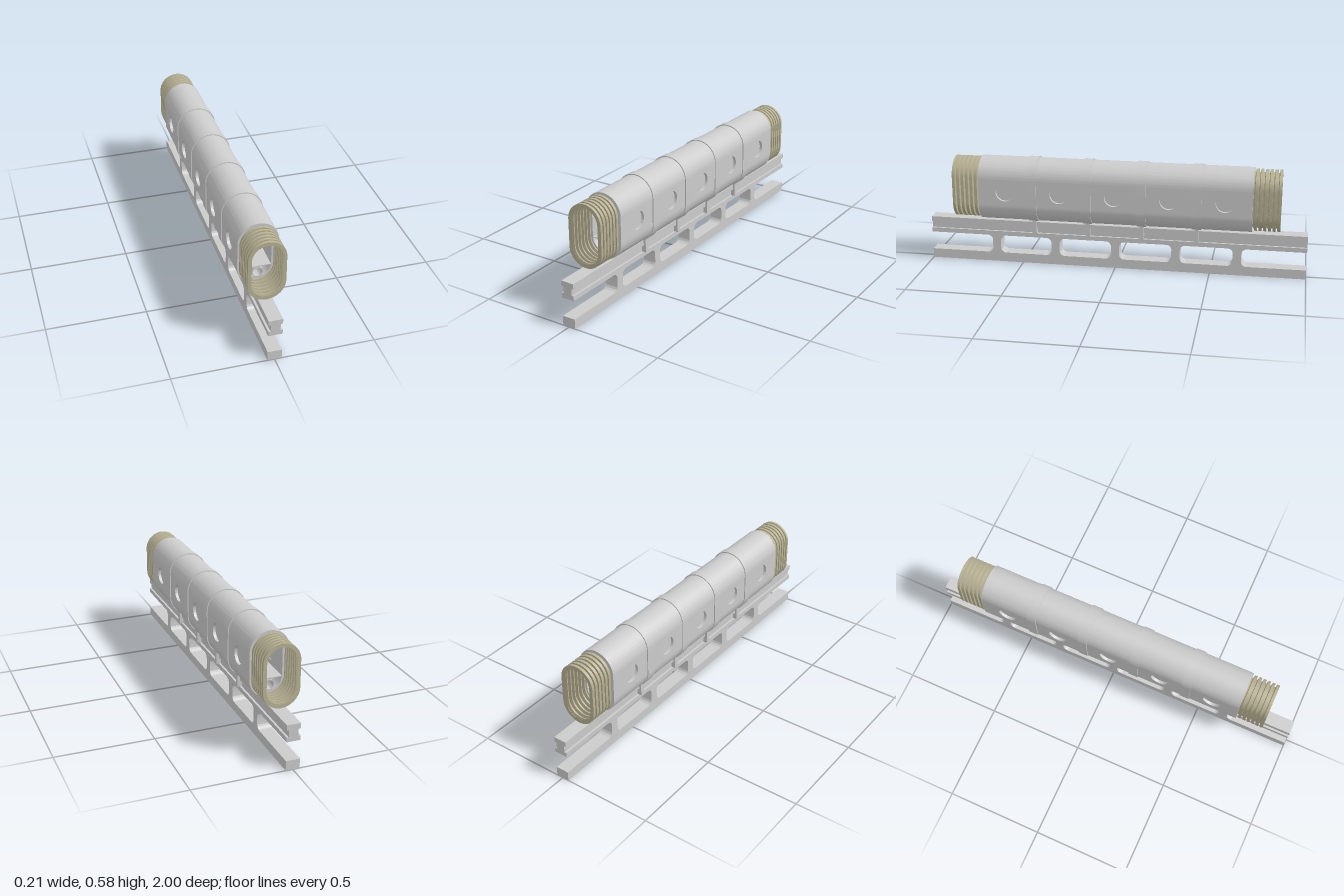
import * as THREE from 'three';
import { toCreasedNormals } from 'three/addons/utils/BufferGeometryUtils.js';

const grey = new THREE.MeshStandardMaterial({ color: 0xcccccc });
const olive = new THREE.MeshStandardMaterial({ color: 0xb8b294, side: THREE.DoubleSide });

const LOW = 0.34, HIGH = 0.478;      // arc centres of the tall oval section
const SKIN = 0.101, INNER = 0.066;   // hull outer and inner radius
const HALF = 0.715;                  // half length of the hull
const STATIONS = [-0.43, -0.143, 0.143, 0.43];
const WINDOWS = [-0.575, -0.287, 0, 0.287, 0.575];

function add(parent, name, geometry, material = grey) {
  const mesh = new THREE.Mesh(geometry, material);
  mesh.name = name;
  parent.add(mesh);
  return mesh;
}

// Extrusion centred on its depth, with smooth curves and sharp edges
function extrude(shape, depth) {
  const g = new THREE.ExtrudeGeometry(shape, { depth, bevelEnabled: false, curveSegments: 28 });
  g.translate(0, 0, -depth / 2);
  return toCreasedNormals(g, 0.5);
}

// Same, for shapes drawn as (z, y) and extruded across x
const extrudeAcross = (shape, depth) => extrude(shape, depth).rotateY(-Math.PI / 2);

function poly(points) {
  return new THREE.Shape(points.map(([x, y]) => new THREE.Vector2(x, y)));
}

function oval(r, Type = THREE.Shape) {
  const s = new Type();
  s.absarc(0, HIGH, r, 0, Math.PI);
  s.absarc(0, LOW, r, Math.PI, 2 * Math.PI);
  s.closePath();
  return s;
}

// Half ring used for the hull roof and belly
function halfRing(y, start) {
  const s = new THREE.Shape();
  s.absarc(0, y, SKIN, start, start + Math.PI, false);
  s.absarc(0, y, INNER, start + Math.PI, start, true);
  s.closePath();
  return s;
}

// Corrugated sleeve: oval loops whose radius steps in and out along z
function bellowsGeometry(length, ribs) {
  const profile = [], pitch = length / ribs;
  for (let i = 0; i < ribs; i++) {
    const z = i * pitch;
    profile.push([z, 0.077], [z + pitch * 0.25, 0.077], [z + pitch * 0.4, 0.094], [z + pitch, 0.094]);
  }
  profile.push([length, 0.075]);
  const n = 25, ring = 2 * n, pos = [], index = [];
  for (const [z, r] of profile) {
    for (let k = 0; k < ring; k++) {
      const upper = k < n;
      const a = Math.PI * (upper ? k / (n - 1) : 1 + (k - n) / (n - 1));
      pos.push(Math.cos(a) * r, (upper ? HIGH : LOW) + Math.sin(a) * r, z);
    }
  }
  for (let j = 0; j < profile.length - 1; j++) {
    for (let k = 0; k < ring; k++) {
      const a = j * ring + k, b = j * ring + (k + 1) % ring;
      index.push(a, b, b + ring, a, b + ring, a + ring);
    }
  }
  const g = new THREE.BufferGeometry();
  g.setAttribute('position', new THREE.Float32BufferAttribute(pos, 3));
  g.setIndex(index);
  return toCreasedNormals(g, 0.5);
}

function buildHull() {
  const hull = new THREE.Group();
  hull.name = 'hull';
  add(hull, 'roof', extrude(halfRing(HIGH, 0), HALF * 2));
  add(hull, 'belly', extrude(halfRing(LOW, Math.PI), HALF * 2));

  // Flat side walls with round recessed windows
  const wall = poly([[-HALF, LOW], [HALF, LOW], [HALF, HIGH], [-HALF, HIGH]]);
  for (const z of WINDOWS) {
    const hole = new THREE.Path();
    hole.absarc(z, 0.41, 0.047, 0, 2 * Math.PI, true);
    wall.holes.push(hole);
  }
  const wallGeo = extrudeAcross(wall, SKIN - INNER);
  const paneGeo = new THREE.CylinderGeometry(0.0475, 0.0475, 0.016, 40).rotateZ(Math.PI / 2);
  for (const side of [-1, 1]) {
    add(hull, 'sideWall', wallGeo).position.x = side * (SKIN + INNER) / 2;
    for (const z of WINDOWS) add(hull, 'windowPane', paneGeo).position.set(side * 0.078, 0.41, z);
  }

  // Raised bands around the hull
  const band = oval(0.106);
  band.holes.push(oval(0.098, THREE.Path));
  const bandGeo = extrude(band, 0.05);
  for (const z of STATIONS) add(hull, 'hullBand', bandGeo).position.z = z;

  // Walkway and the duct beneath it
  add(hull, 'floor', new THREE.BoxGeometry(0.134, 0.004, HALF * 2)).position.y = 0.335;
  add(hull, 'floorStrip', new THREE.BoxGeometry(0.066, 0.003, HALF * 2)).position.y = 0.3315;
  const duct = new THREE.Shape();
  duct.absarc(0, 0.3, 0.029, 0, 2 * Math.PI);
  const bore = new THREE.Path();
  bore.absarc(0, 0.3, 0.023, 0, 2 * Math.PI, true);
  duct.holes.push(bore);
  add(hull, 'duct', extrude(duct, HALF * 2));
  return hull;
}

function buildTrack() {
  const track = new THREE.Group();
  track.name = 'track';

  // Grooved rail
  add(track, 'rail', extrude(poly([
    [-0.035, 0.147], [0.035, 0.147], [0.035, 0.171], [0.024, 0.171], [0.024, 0.207], [0.035, 0.207],
    [0.035, 0.234], [-0.035, 0.234], [-0.035, 0.207], [-0.024, 0.207], [-0.024, 0.171], [-0.035, 0.171],
  ]), 2));

  // Lower beam and the filleted webs that carry the rail
  add(track, 'lowerBeam', new THREE.BoxGeometry(0.07, 0.05, 2)).position.y = 0.025;
  const w = 0.022, r = 0.028, y0 = 0.05, y1 = 0.147;
  const web = new THREE.Shape();
  web.moveTo(-w - r, y0);
  web.lineTo(w + r, y0);
  web.absarc(w + r, y0 + r, r, -Math.PI / 2, -Math.PI, true);
  web.absarc(w + r, y1 - r, r, Math.PI, Math.PI / 2, true);
  web.lineTo(-w - r, y1);
  web.absarc(-w - r, y1 - r, r, Math.PI / 2, 0, true);
  web.absarc(-w - r, y0 + r, r, 0, -Math.PI / 2, true);
  const webGeo = extrudeAcross(web, 0.07);
  for (let i = -2; i <= 2; i++) add(track, 'web', webGeo).position.z = i * 0.321;
  return track;
}

export function createModel() {
  const model = new THREE.Group();
  model.name = 'railCarriage';
  model.add(buildHull(), buildTrack());

  // Flexible sleeves at both ends
  const sleeve = bellowsGeometry(0.143, 6);
  for (const end of [1, -1]) {
    const b = add(model, end > 0 ? 'frontBellows' : 'rearBellows', sleeve, olive);
    b.position.z = end * HALF;
    if (end < 0) b.rotation.y = Math.PI;
  }

  // Hooked brackets gripping the rail grooves
  const hook = extrude(poly([
    [0.024, 0.171], [0.047, 0.171], [0.047, 0.252], [0.035, 0.25], [0.035, 0.207], [0.024, 0.207],
  ]), 0.022);
  for (const z of STATIONS) {
    for (const turn of [0, Math.PI]) {
      const h = add(model, 'railHook', hook);
      h.position.z = z;
      h.rotation.y = turn;
    }
  }
  return model;
}
